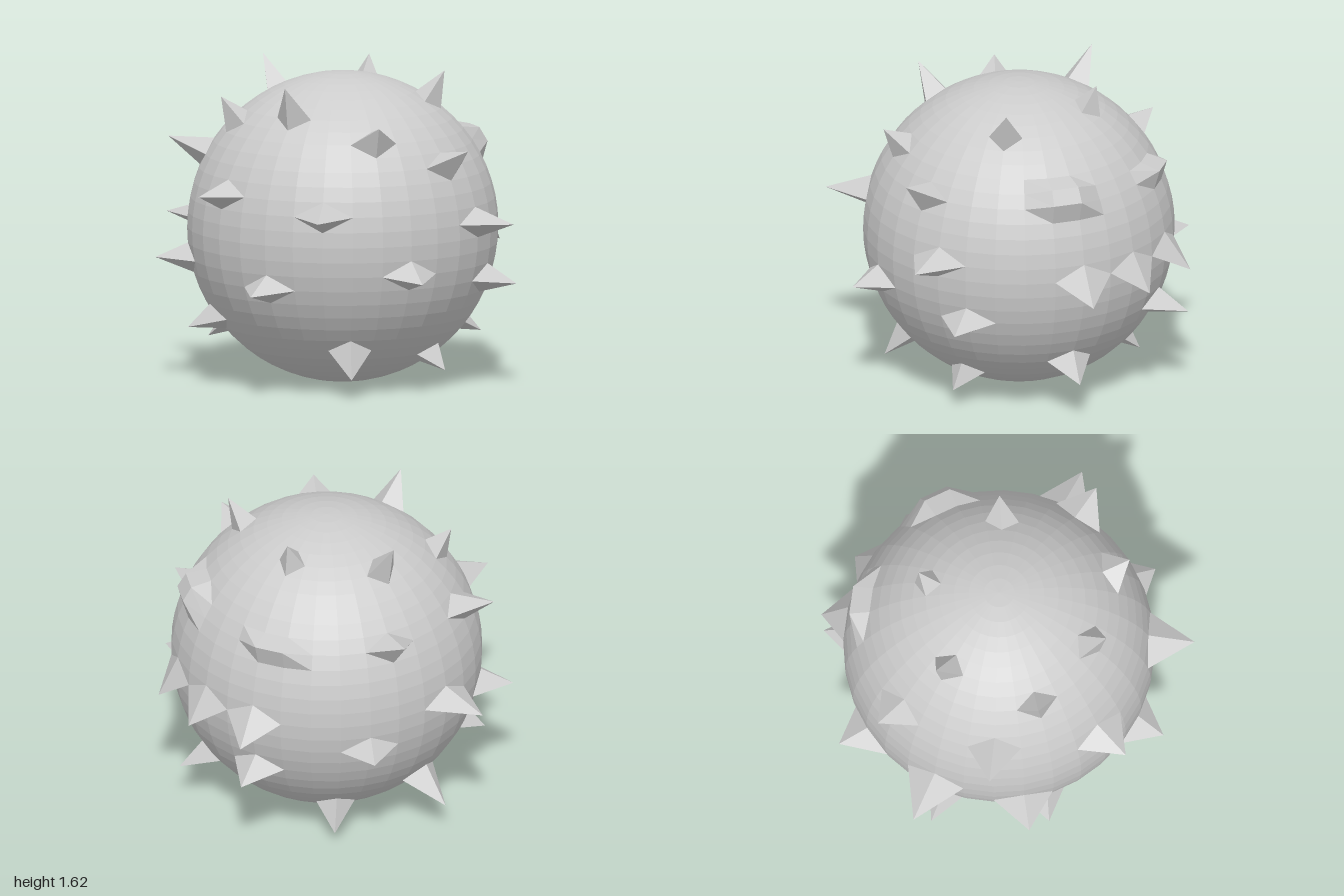
import * as THREE from 'three';

const R = 0.787;
const STEP = Math.PI / 32; // one ring of latitude; a meridian step is twice this
const material = new THREE.MeshStandardMaterial({ color: 0xcccccc, flatShading: true });

// Point on the body, counted in grid steps from +z (longitude) and the equator (latitude)
function onBody(lon, lat) {
  const a = lon * STEP * 2, b = lat * STEP;
  return new THREE.Vector3(Math.sin(a) * Math.cos(b), Math.sin(b), Math.cos(a) * Math.cos(b)).multiplyScalar(R);
}

// Ball with two raised eyes on the rear side, one open and one narrowed
function makeBody() {
  const geo = new THREE.SphereGeometry(R, 32, 32);
  const pos = geo.attributes.position;
  const v = new THREE.Vector3();
  const raised = [[14, 5], [13, 5], [14, 6], [13, 6], [18, 5], [19, 5]].map(([lon, lat]) => onBody(lon, lat));
  for (let i = 0; i < pos.count; i++) {
    v.fromBufferAttribute(pos, i);
    if (raised.some((p) => p.distanceTo(v) < 0.01)) {
      v.multiplyScalar(1.09);
      pos.setXYZ(i, v.x, v.y, v.z);
    }
  }
  geo.computeVertexNormals();
  return new THREE.Mesh(geo, material);
}

// Four-sided spike standing on the grid point below its tip
function makeSpike(lat, x, y, z) {
  const lon = Math.round(Math.atan2(x, z) / (STEP * 2));
  const tip = new THREE.Vector3(x, y, z);
  const base = [[1, 0], [0, 1], [-1, 0], [0, -1]].map(([i, j]) => onBody(lon + i, lat + j));
  const points = [];
  base.forEach((p, i) => points.push(p, base[(i + 1) % 4], tip));
  const geo = new THREE.BufferGeometry().setFromPoints(points);
  geo.computeVertexNormals();
  return new THREE.Mesh(geo, material);
}

// Latitude step of the base, then the tip measured from the ball's centre
const spikes = [
  // upper
  [10, -0.54, 0.83, -0.005], [8, -0.37, 0.68, 0.51], [9, 0.12, 0.775, 0.58],
  [10, 0.42, 0.8, -0.3], [7, 0.585, 0.593, 0.39], [11, -0.16, 0.82, -0.385],
  [5, 0.84, 0.46, 0], [5, -0.825, 0.44, -0.16], [5, -0.75, 0.44, 0.48],
  // middle
  [3, -0.17, 0.23, 0.91], [2, 0.55, 0.15, 0.82], [0, -1.01, 0, 0.195],
  [1, 0.98, 0.08, -0.19], [-2, -0.67, -0.15, 0.67], [-3, 0.17, -0.25, 0.9],
  [-2, 0.85, -0.18, 0.36], [-3, 0.86, -0.25, -0.35], [-2, -0.855, -0.15, -0.38],
  // lower
  [-7, -0.78, -0.62, 0.14], [-6, -0.47, -0.49, 0.65], [-8, 0.48, -0.69, 0.48],
  [-9, 0.6, -0.69, -0.1], [-9, -0.51, -0.72, -0.36], [-7, 0.31, -0.58, -0.705],
  [-4, -0.35, -0.34, -0.84],
];
const fangs = [[0, -0.355, -0.11, -0.85], [0, 0, -0.12, -0.897], [0, 0.335, -0.125, -0.82]];

export function createModel() {
  const model = new THREE.Group();
  model.name = 'spikyBall';

  const body = makeBody();
  body.name = 'body';
  model.add(body);

  for (const [name, list] of [['spike', spikes], ['fang', fangs]]) {
    for (const data of list) {
      const mesh = makeSpike(...data);
      mesh.name = name;
      model.add(mesh);
    }
  }

  // Stand the ball on the ground, centred over its spikes
  for (const part of model.children) part.position.set(0.01, R, -0.01);
  return model;
}
